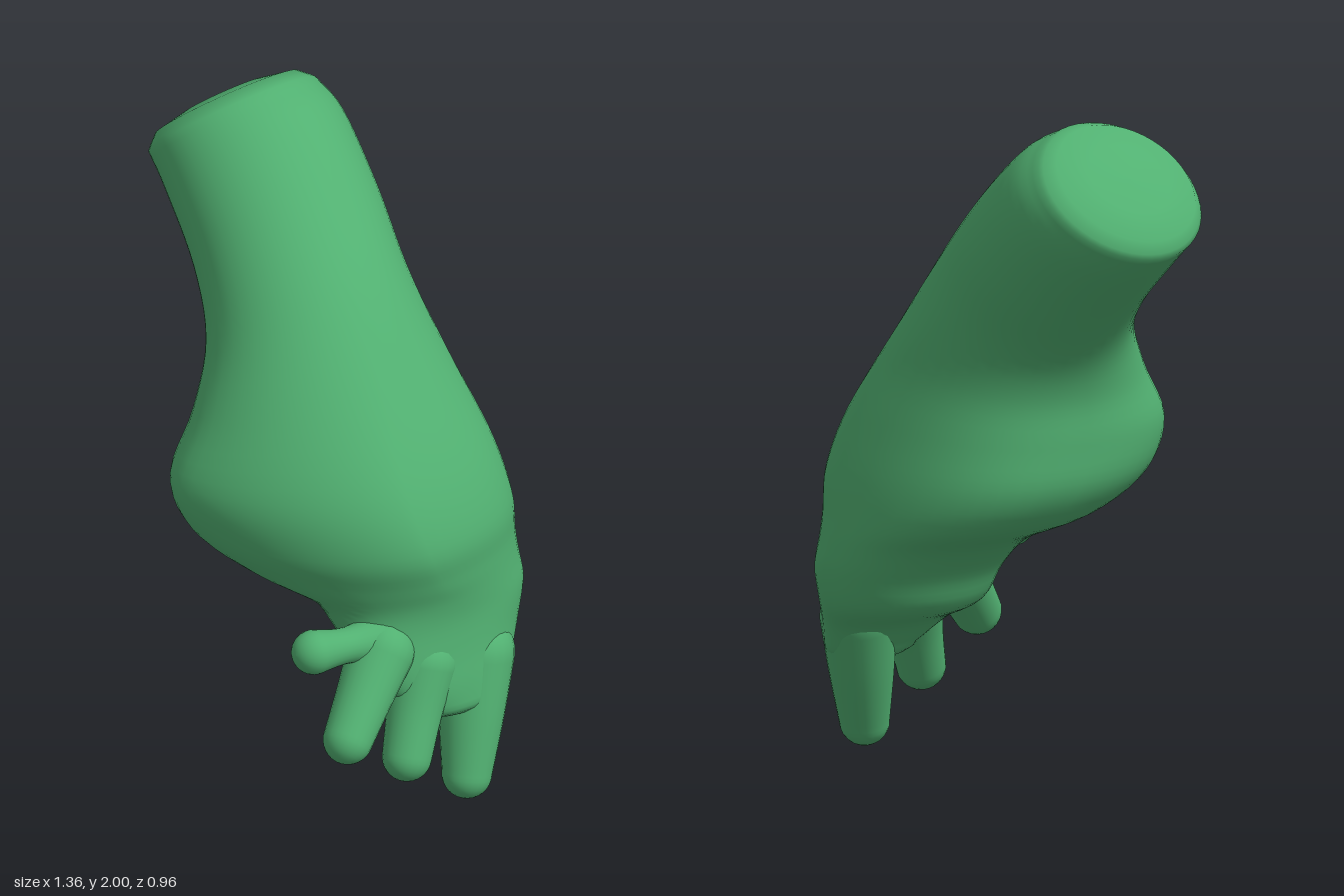
import * as THREE from 'three';

// Arm sections: inner edge x,y | outer edge x,y | front z, back z | position of the front and back crests across the section
const SECTIONS = [
  [-0.68, 1.65, -0.31, 2.00, 0.15, -0.40, 0.5, 0.5],
  [-0.59, 1.57, -0.19, 1.94, 0.165, -0.42, 0.5, 0.5],
  [-0.40, 1.41, 0.01, 1.78, 0.205, -0.40, 0.5, 0.5],
  [-0.27, 1.27, 0.21, 1.59, 0.27, -0.375, 0.48, 0.5],
  [-0.21, 1.14, 0.40, 1.34, 0.38, -0.39, 0.42, 0.6],
  [-0.20, 1.00, 0.56, 1.09, 0.478, -0.43, 0.34, 0.68],
  [-0.18, 0.86, 0.63, 0.90, 0.44, -0.46, 0.34, 0.69],
  [-0.09, 0.75, 0.62, 0.77, 0.33, -0.472, 0.4, 0.66],
  [0.07, 0.67, 0.605, 0.68, 0.20, -0.48, 0.52, 0.6],
  [0.165, 0.57, 0.60, 0.60, 0.155, -0.48, 0.6, 0.6],
  [0.23, 0.465, 0.61, 0.50, 0.13, -0.45, 0.66, 0.55],
  [0.37, 0.40, 0.625, 0.41, 0.075, -0.395, 0.62, 0.5],
  [0.45, 0.32, 0.635, 0.33, -0.02, -0.355, 0.6, 0.5],
];

// One closed section made of four quarters: the outer front one flattens at the bulge
// and squares off at the palm, the inner back one squares off at the bulge
function ring(s, n) {
  const [lx, ly, rx, ry, zf, zb, f, b] = s;
  const zm = (zf + zb) / 2, points = [];
  for (let j = 0; j < n; j++) {
    const a = (j / n) * Math.PI * 2;
    let c = Math.cos(a), d = Math.sin(a), q = 1;
    if (c > 0 && d > 0) q = 1 + (0.5 - f) * 1.3;
    if (c < 0 && d < 0) q = 1 - (b - 0.5) * 1.2;
    c = Math.sign(c) * Math.abs(c) ** q;
    d = Math.sign(d) * Math.abs(d) ** q;
    const crest = d >= 0 ? f : b;
    const u = crest + c * (c >= 0 ? 1 - crest : crest);
    const z = zm + d * (d >= 0 ? zf - zm : zm - zb);
    points.push(new THREE.Vector3(lx + (rx - lx) * u, ly + (ry - ly) * u, z));
  }
  return points;
}

// Rings shrinking toward a domed end
function dome(base, push, steps) {
  const centre = new THREE.Vector3();
  base.forEach(p => centre.addScaledVector(p, 1 / base.length));
  return steps.map(([scale, lift]) =>
    base.map(p => p.clone().sub(centre).multiplyScalar(scale).add(centre).addScaledVector(push, lift)));
}

function loft(rings) {
  const n = rings[0].length, index = [];
  for (let i = 0; i < rings.length - 1; i++) {
    for (let j = 0; j < n; j++) {
      const a = i * n + j, b = i * n + (j + 1) % n;
      index.push(a, b, a + n, b, b + n, a + n);
    }
  }
  const g = new THREE.BufferGeometry().setFromPoints(rings.flat());
  g.setIndex(index);
  g.computeVertexNormals();
  return g;
}

function armGeometry() {
  const n = 48, steps = 60, last = SECTIONS.length - 1;
  const spline = new THREE.CubicInterpolant(SECTIONS.map((_, i) => i), SECTIONS.flat(), 8, new Float32Array(8));
  const rings = [];
  for (let i = 0; i <= steps; i++) rings.push(ring(Array.from(spline.evaluate(i / steps * last)), n));
  const top = dome(rings[0], new THREE.Vector3(-0.7, 0.7, 0), [[0.001, 0.065], [0.5, 0.06], [0.85, 0.04], [0.96, 0.012]]);
  const end = dome(rings[steps], new THREE.Vector3(0.1, -1, 0), [[0.93, 0.015], [0.75, 0.03], [0.4, 0.04], [0.001, 0.04]]);
  return loft([...top, ...rings, ...end]);
}

// Digit rounded at both ends: root, middle and tip radii
function digit(name, root, tip, radii, material) {
  const a = new THREE.Vector3(...root), b = new THREE.Vector3(...tip);
  const axis = b.clone().sub(a), length = axis.length();
  const [r0, r1, r2] = radii;
  const arc = (r, y, sign) => Array.from({ length: 9 }, (_, i) => {
    const t = i / 8 * Math.PI / 2;
    return new THREE.Vector2(Math.max(0, r * Math.cos(t)), y + sign * r * Math.sin(t));
  });
  const side = new THREE.SplineCurve([
    new THREE.Vector2(r0, 0),
    new THREE.Vector2(r1, length * 0.5),
    new THREE.Vector2(r2, length),
  ]).getPoints(12);
  const profile = [...arc(r0, 0, -1).reverse(), ...side.slice(1, -1), ...arc(r2, length, 1)];
  const mesh = new THREE.Mesh(new THREE.LatheGeometry(profile, 24), material);
  mesh.name = name;
  mesh.position.copy(a);
  mesh.quaternion.setFromUnitVectors(new THREE.Vector3(0, 1, 0), axis.normalize());
  return mesh;
}

export function createModel() {
  const model = new THREE.Group();
  model.name = 'arm';
  const skin = new THREE.MeshStandardMaterial({ color: 0x51b071 });
  skin.name = 'greenSkin';

  const arm = new THREE.Mesh(armGeometry(), skin);
  arm.name = 'forearmAndPalm';
  model.add(arm);

  // Hand
  const hand = new THREE.Group();
  hand.name = 'hand';
  hand.add(
    digit('thumb', [0.50, 0.58, 0.08], [0.50, 0.62, 0.32], [0.08, 0.054, 0.067], skin),
    digit('indexFinger', [0.515, 0.545, 0.085], [0.603, 0.352, 0.272], [0.1, 0.085, 0.074], skin),
    digit('middleFinger', [0.525, 0.46, -0.06], [0.603, 0.215, 0.055], [0.105, 0.084, 0.074], skin),
    digit('outerFinger', [0.515, 0.42, -0.265], [0.603, 0.078, -0.165], [0.115, 0.098, 0.075], skin),
  );
  model.add(hand);
  return model;
}
